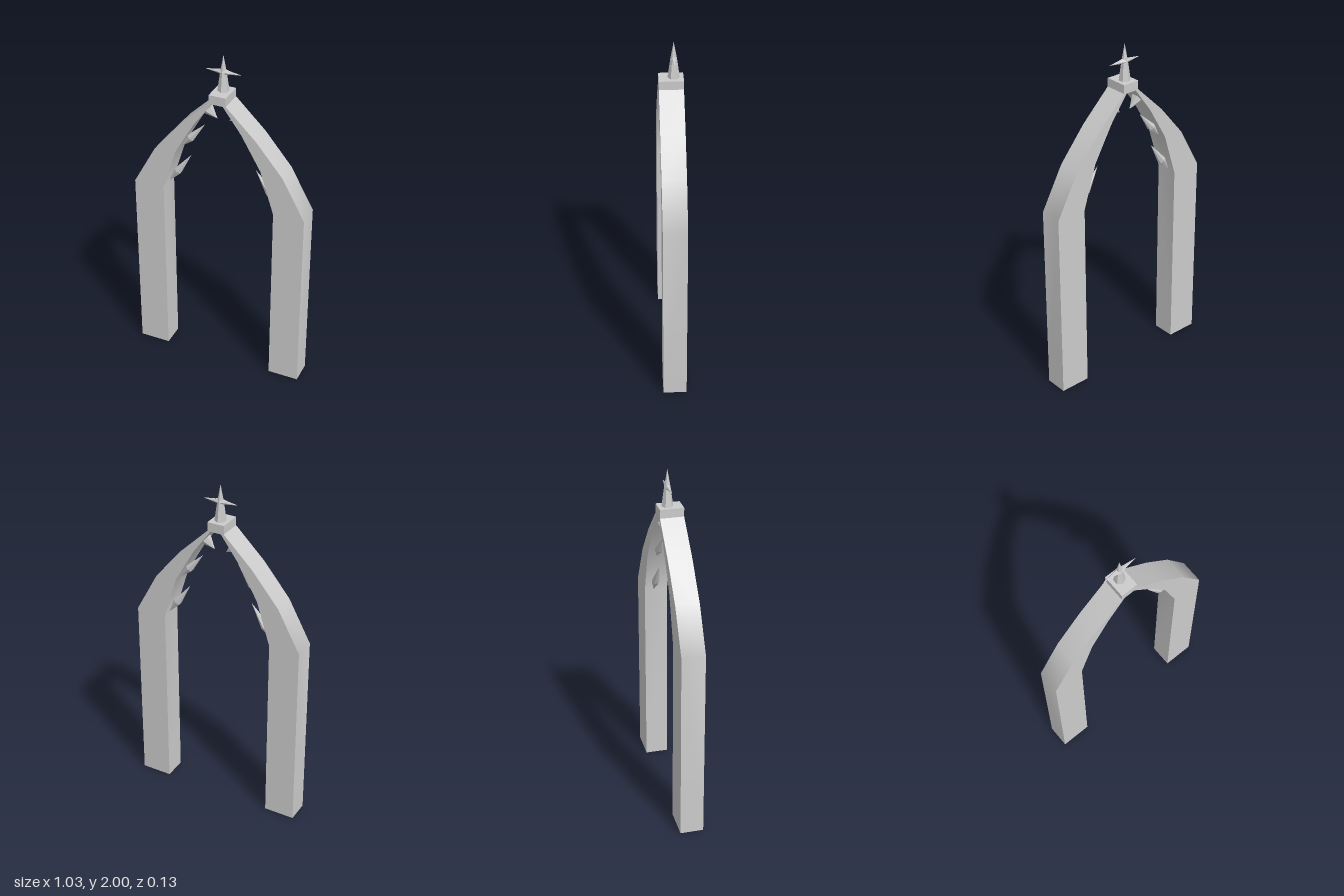
import * as THREE from 'three';

const D = 0.067;      // half depth of the arch
const SPIKE_Z = -0.014; // plane of the thorns and finial

const beamMaterial = new THREE.MeshStandardMaterial({ color: 0xcccccc, side: THREE.DoubleSide });
const spikeMaterial = new THREE.MeshStandardMaterial({ color: 0xcccccc, flatShading: true });

// [outer x, outer y, inner x, inner y] from the foot to the crown
const SECTIONS = [
  [0.517, 0, 0.335, 0],
  [0.517, 1.135, 0.335, 1.135],
  [0.383, 1.38, 0.255, 1.39],
  [0.225, 1.57, 0.14, 1.59],
  [0.05, 1.74, 0.03, 1.74],
];

// Four separate strips, so corners stay sharp and the curve is smooth; the foot is open
function beamGeometry(side) {
  const positions = [], index = [];
  for (let face = 0; face < 4; face++) {
    const start = positions.length / 3;
    SECTIONS.forEach(([ox, oy, ix, iy]) => {
      const ring = [[ox, oy, D], [ox, oy, -D], [ix, iy, -D], [ix, iy, D]];
      for (const [x, y, z] of [ring[face], ring[(face + 1) % 4]]) positions.push(side * x, y, z);
    });
    for (let i = 0; i < SECTIONS.length - 1; i++) {
      const a = start + i * 2, b = a + 1, c = a + 2, d = a + 3;
      if (side > 0) index.push(a, b, d, a, d, c);
      else index.push(a, d, b, a, c, d);
    }
  }
  const geometry = new THREE.BufferGeometry();
  geometry.setAttribute('position', new THREE.Float32BufferAttribute(positions, 3));
  geometry.setIndex(index);
  geometry.computeVertexNormals();
  return geometry;
}

// Six-sided spike between two points; profile holds [radius, fraction of length]
function spike(name, from, to, profile) {
  const a = new THREE.Vector3(from[0], from[1], SPIKE_Z);
  const b = new THREE.Vector3(to[0], to[1], SPIKE_Z);
  const length = a.distanceTo(b);
  const points = profile.map(([r, t]) => new THREE.Vector2(r, t * length));
  const mesh = new THREE.Mesh(new THREE.LatheGeometry(points, 6), spikeMaterial);
  mesh.name = name;
  mesh.position.copy(a);
  mesh.quaternion.setFromUnitVectors(new THREE.Vector3(0, 1, 0), b.sub(a).normalize());
  return mesh;
}

export function createModel() {
  const model = new THREE.Group();
  model.name = 'thornedArch';

  const needle = [[0, 0], [0.024, 0.4], [0, 1]];
  const cone = [[0, 0], [0.036, 0], [0, 1]];

  for (const side of [1, -1]) {
    const half = new THREE.Group();
    half.name = side > 0 ? 'leftHalf' : 'rightHalf';
    const beam = new THREE.Mesh(beamGeometry(side), beamMaterial);
    beam.name = 'beam';
    half.add(beam);
    // Thorns along the inside of the curve
    half.add(
      spike('lowerThorn', [side * 0.337, 1.135], [side * 0.195, 1.34], needle),
      spike('middleThorn', [side * 0.255, 1.385], [side * 0.11, 1.555], needle),
      spike('upperThorn', [side * 0.094, 1.662], [side * 0.035, 1.61], cone),
    );
    model.add(half);
  }

  // Block joining the two halves
  const keystone = new THREE.Mesh(
    new THREE.BoxGeometry(0.1, 0.053, D * 2),
    new THREE.MeshStandardMaterial({ color: 0xcccccc }),
  );
  keystone.name = 'keystone';
  keystone.position.y = 1.7635;
  model.add(keystone);

  // Pointed finial with a cross spike
  const finial = new THREE.Group();
  finial.name = 'finial';
  finial.add(
    spike('finialSpire', [0, 1.789], [0, 2], [[0, 0], [0.033, 0], [0.018, 0.52], [0, 1]]),
    spike('finialCrossbar', [-0.108, 1.9], [0.108, 1.9],
      [[0, 0], [0.01, 0.34], [0.018, 0.5], [0.01, 0.66], [0, 1]]),
  );
  model.add(finial);

  return model;
}
